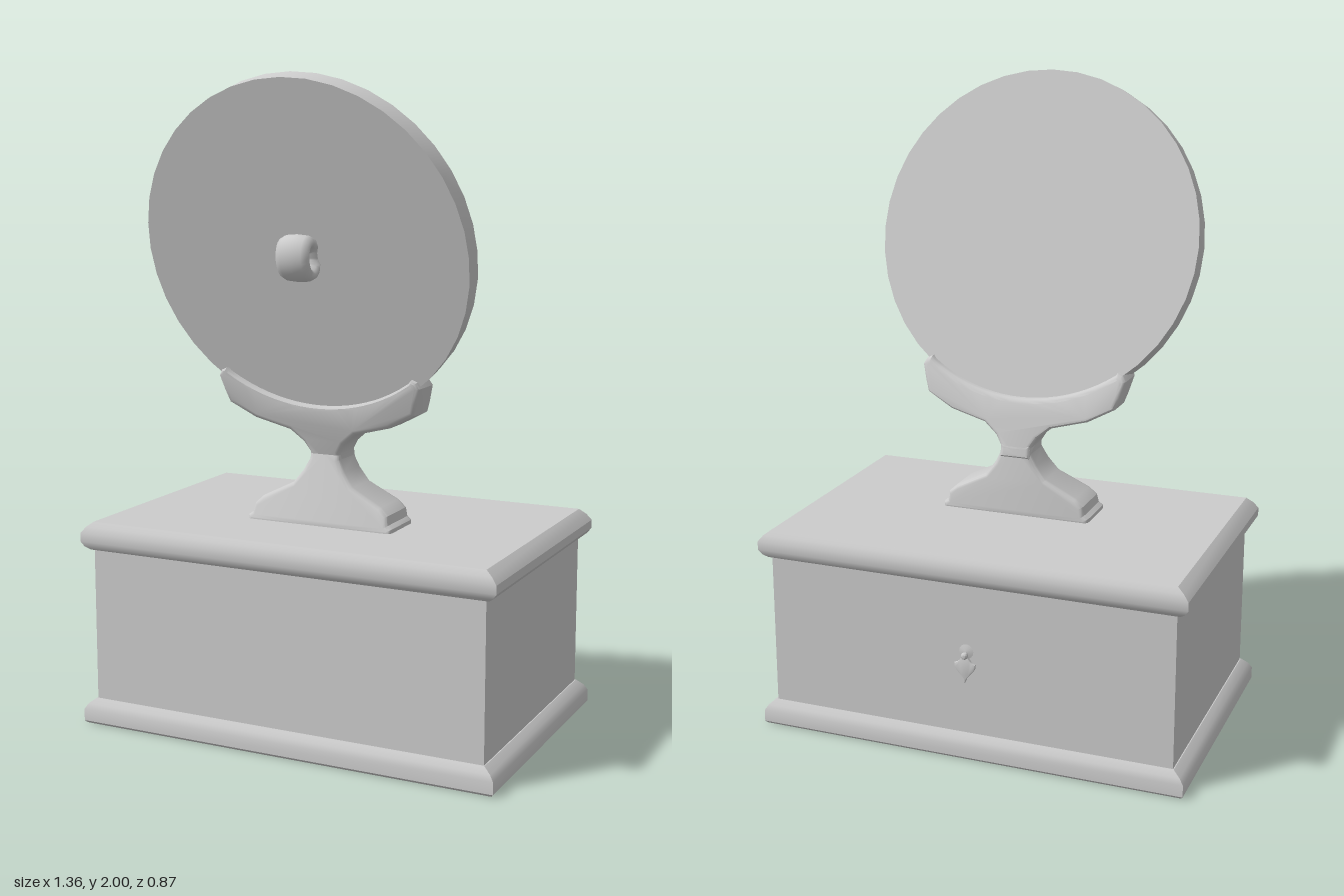
import * as THREE from 'three';
import { toCreasedNormals } from 'three/addons/utils/BufferGeometryUtils.js';

const material = new THREE.MeshStandardMaterial({ color: 0xcccccc });

function part(name, geometry, parent, crease = 0.6) {
  const mesh = new THREE.Mesh(toCreasedNormals(geometry, crease), material);
  mesh.name = name;
  parent.add(mesh);
  return mesh;
}

// Rectangular solid through levels [y, half width, half depth]
function rectLoft(levels) {
  const pos = [], idx = [];
  for (const [y, w, d] of levels) pos.push(-w, y, d, w, y, d, w, y, -d, -w, y, -d);
  for (let i = 0; i < levels.length - 1; i++) {
    for (let k = 0; k < 4; k++) {
      const a = i * 4 + k, b = i * 4 + (k + 1) % 4;
      idx.push(a, b, b + 4, a, b + 4, a + 4);
    }
  }
  const t = (levels.length - 1) * 4;
  idx.push(0, 2, 1, 0, 3, 2, t, t + 1, t + 2, t, t + 2, t + 3);
  const g = new THREE.BufferGeometry();
  g.setAttribute('position', new THREE.Float32BufferAttribute(pos, 3));
  g.setIndex(idx);
  return g;
}

// Symmetric outline with rounded rims; its front and back follow two slanted planes
function slantedPlate(right, y0, y1, back, front) {
  const left = right.filter(p => p[0] > 0).reverse().map(([x, y]) => [-x, y]);
  const shape = new THREE.Shape([...right, ...left].map(p => new THREE.Vector2(...p)));
  const g = new THREE.ExtrudeGeometry(shape, {
    depth: 0.76, bevelThickness: 0.12, bevelSize: 0.014, bevelOffset: -0.014, bevelSegments: 3,
  });
  const p = g.attributes.position;
  for (let i = 0; i < p.count; i++) {
    const t = (p.getY(i) - y0) / (y1 - y0);
    const zb = back[0] + (back[1] - back[0]) * t, zf = front[0] + (front[1] - front[0]) * t;
    p.setZ(i, zb + (zf - zb) * (p.getZ(i) + 0.12));
  }
  return g;
}

export function createModel() {
  const model = new THREE.Group();
  model.name = 'discOnBox';

  // Box with moulded plinth and lid
  part('plinth', rectLoft([[0, 0.675, 0.425], [0.008, 0.682, 0.432], [0.045, 0.682, 0.432],
    [0.063, 0.67, 0.425], [0.08, 0.648, 0.412]]), model);
  part('boxBody', rectLoft([[0.07, 0.645, 0.408], [0.57, 0.645, 0.408]]), model);
  part('lid', rectLoft([[0.558, 0.655, 0.415], [0.568, 0.67, 0.425], [0.584, 0.682, 0.43],
    [0.61, 0.682, 0.43], [0.63, 0.666, 0.422], [0.646, 0.645, 0.41]]), model);

  // Stand: spreading foot and leaning cradle
  const stand = new THREE.Group();
  stand.name = 'stand';
  model.add(stand);
  part('foot', slantedPlate([[0, 0.635], [0.243, 0.635], [0.243, 0.658], [0.23, 0.668], [0.225, 0.695],
    [0.2, 0.718], [0.1, 0.768], [0.068, 0.81], [0.05, 0.845], [0.05, 0.875], [0, 0.875]],
  0.645, 0.86, [-0.012, -0.006], [0.163, 0.113]), stand);

  // Arc matching the lower rim of the disc
  const arc = [];
  for (let i = 0; i <= 10; i++) {
    const x = 0.3 * (1 - i / 10);
    arc.push([x, 1.493 - 0.966 * Math.sqrt(0.52 ** 2 - x * x) + 0.022]);
  }
  part('cradle', slantedPlate([[0, 0.83], [0.05, 0.83], [0.05, 0.865], [0.068, 0.895], [0.11, 0.93],
    [0.225, 0.96], [0.31, 1.005], [0.322, 1.04], [0.336, 1.09], [0.325, 1.108], [0.308, 1.115], ...arc],
  0.86, 1.12, [-0.006, 0.06], [0.113, 0.178]), stand);

  // Leaning disc with its front loop
  const disc = new THREE.Group();
  disc.name = 'leaningDisc';
  disc.position.set(0, 1.489, 0.22);
  disc.rotation.x = 0.267;
  model.add(disc);
  part('plate', new THREE.CylinderGeometry(0.52, 0.52, 0.067, 40).rotateX(Math.PI / 2), disc);

  // Barrel-shaped ring, its flared hole running sideways
  const ring = [[0.021, 0], [0.024, 0.025], [0.034, 0.046], [0.045, 0.054], [0.059, 0.05],
    [0.068, 0.034], [0.071, 0], [0.068, -0.034], [0.059, -0.05], [0.045, -0.054], [0.034, -0.046],
    [0.024, -0.025], [0.021, 0]];
  const loop = new THREE.LatheGeometry(ring.map(p => new THREE.Vector2(...p)).reverse(), 28);
  loop.rotateZ(Math.PI / 2).scale(1, 1, 0.78);
  const loopMesh = part('frontLoop', loop, disc, 1);
  loopMesh.material = new THREE.MeshStandardMaterial({ color: 0xcccccc, side: THREE.DoubleSide });
  loopMesh.position.set(0, -0.004, 0.062);

  // Drop pull on the back: rosette, knob and hanging leaf
  const pull = new THREE.Group();
  pull.name = 'backPull';
  pull.position.set(0, 0.33, -0.405);
  pull.rotation.y = Math.PI;
  model.add(pull);
  part('rosette', new THREE.ConeGeometry(0.04, 0.014, 16).rotateX(Math.PI / 2), pull).position.set(0, 0.015, 0.004);
  part('knob', new THREE.SphereGeometry(0.011, 12, 8), pull, 1).position.set(0, 0.006, 0.017);
  const leaf = new THREE.Shape();
  leaf.moveTo(0, 0.01);
  leaf.bezierCurveTo(0.012, 0.01, 0.01, -0.015, 0.034, -0.02);
  leaf.bezierCurveTo(0.034, -0.05, 0.008, -0.05, 0, -0.082);
  leaf.bezierCurveTo(-0.008, -0.05, -0.034, -0.05, -0.034, -0.02);
  leaf.bezierCurveTo(-0.01, -0.015, -0.012, 0.01, 0, 0.01);
  part('hangingLeaf', new THREE.ExtrudeGeometry(leaf, {
    depth: 0.004, bevelThickness: 0.003, bevelSize: 0.003, bevelOffset: -0.003, bevelSegments: 2, curveSegments: 6,
  }), pull).position.z = 0.011;

  return model;
}
